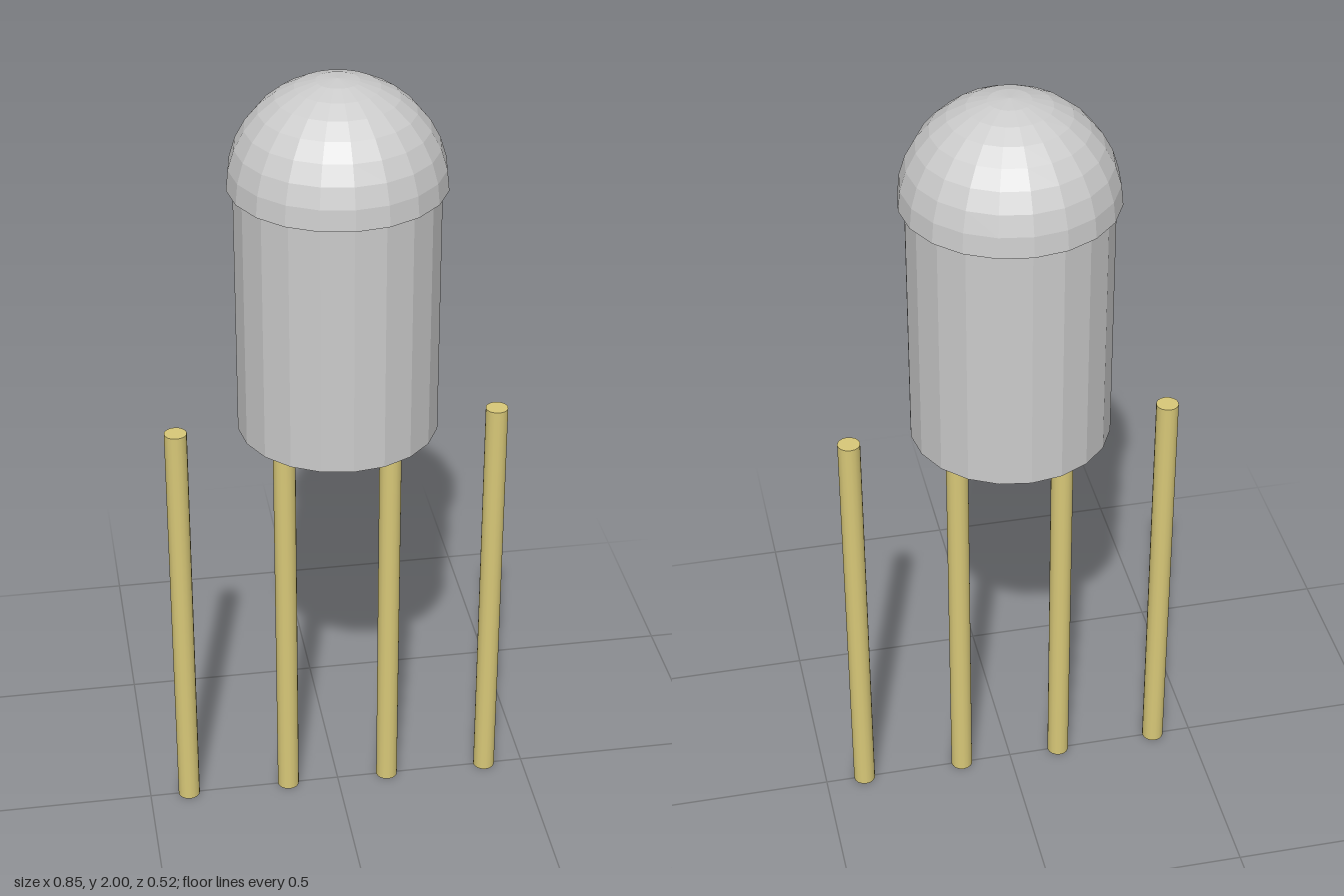
import * as THREE from 'three';

export function createModel() {
  const group = new THREE.Group();
  const grey = new THREE.MeshStandardMaterial({ color: 0xcccccc, flatShading: true });
  const brass = new THREE.MeshStandardMaterial({ color: 0xd8c878 });

  const SIDES = 20;
  const BASE = 1.105; // underside of the body and top of the pins
  const RIM = 1.74; // lower edge of the dome
  const DOME_R = 0.26;

  const add = (name, geometry, material, x, y) => {
    const mesh = new THREE.Mesh(geometry, material);
    mesh.name = name;
    mesh.position.set(x, y, 0);
    group.add(mesh);
    return mesh;
  };

  // Cylindrical housing
  add('body', new THREE.CylinderGeometry(0.245, 0.245, RIM - BASE, SIDES), grey, 0, (RIM + BASE) / 2);

  // Hemispherical lens, slightly wider than the housing
  add('dome', new THREE.SphereGeometry(DOME_R, SIDES, 8, 0, Math.PI * 2, 0, Math.PI / 2), grey, 0, RIM);

  // Underside of the overhanging dome rim
  const underside = new THREE.RingGeometry(0.235, DOME_R, SIDES).rotateX(Math.PI / 2);
  add('domeRim', underside, grey, 0, RIM);

  // Row of four straight pins
  const pin = new THREE.CylinderGeometry(0.028, 0.028, BASE, 16);
  for (let i = 0; i < 4; i++) {
    add(`pin${i + 1}`, pin, brass, -0.398 + i * 0.2653, BASE / 2);
  }

  return group;
}
